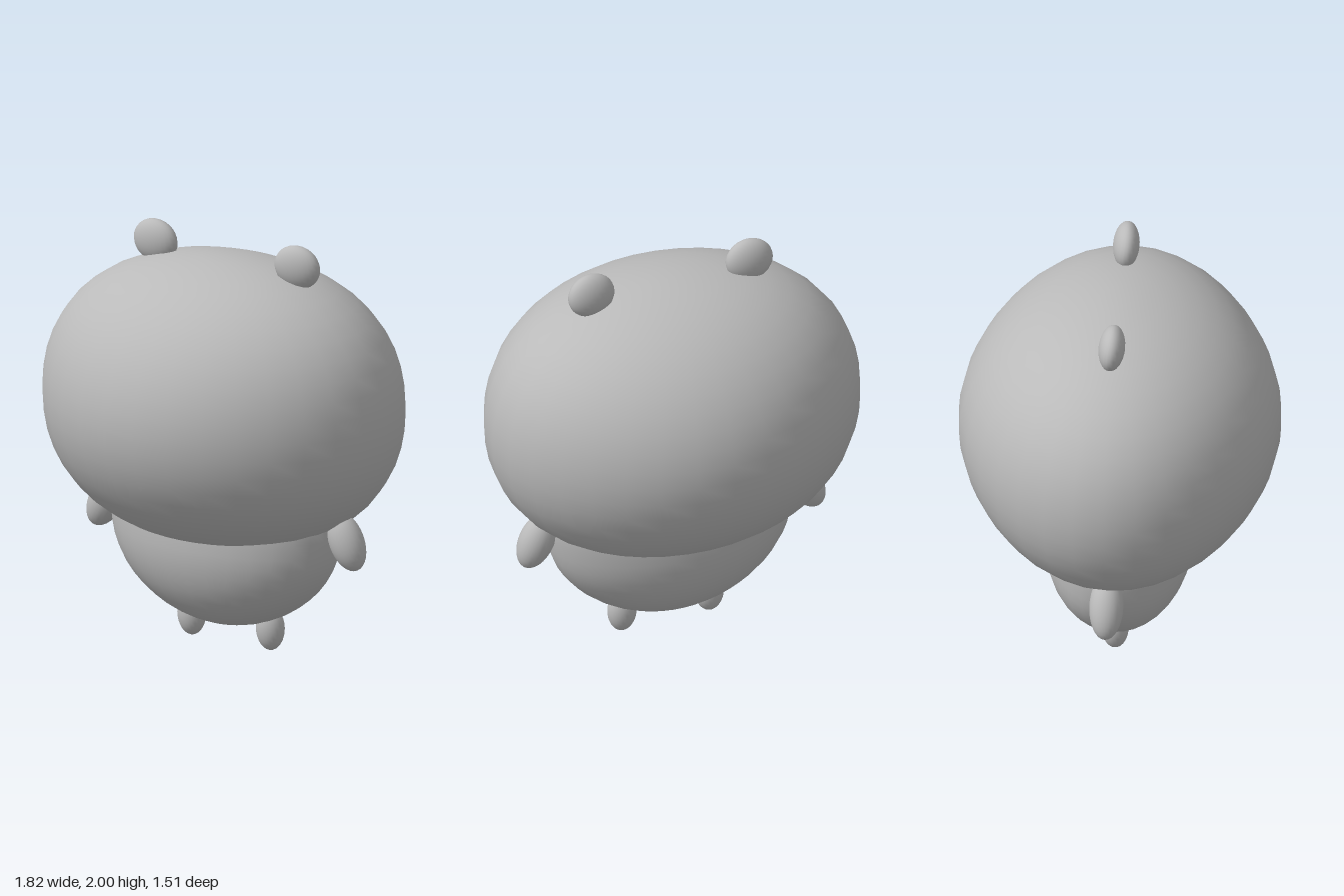
import * as THREE from 'three';
import { mergeVertices } from 'three/addons/utils/BufferGeometryUtils.js';

const grey = new THREE.MeshStandardMaterial({ color: 0xbababa });
grey.name = 'grey';

// Sphere whose unit-direction points are reshaped by a rule, with seamless smooth normals
function blob(name, segments, rings, rule) {
  let geometry = new THREE.SphereGeometry(1, segments, rings);
  geometry.deleteAttribute('uv');
  geometry.deleteAttribute('normal');
  const pos = geometry.attributes.position;
  const v = new THREE.Vector3();
  for (let i = 0; i < pos.count; i++) {
    v.fromBufferAttribute(pos, i);
    rule(v);
    pos.setXYZ(i, v.x, v.y, v.z);
  }
  geometry = mergeVertices(geometry, 1e-5);
  geometry.computeVertexNormals();
  const mesh = new THREE.Mesh(geometry, grey);
  mesh.name = name;
  return mesh;
}

// Small ellipsoid for ears and limbs
function ellipsoid(name, center, radii, rotation = [0, 0, 0]) {
  const mesh = blob(name, 24, 16, (v) => v.multiply(new THREE.Vector3(...radii)));
  mesh.position.set(...center);
  mesh.rotation.set(...rotation);
  return mesh;
}

export function createModel() {
  const group = new THREE.Group();
  group.name = 'bigHeadedCreature';

  // Wide head, fuller towards its upper and lower corners, slimmer front to back
  const head = blob('head', 32, 24, (v) => {
    const xx = v.x * v.x;
    const swell = 1 + 0.16 * xx * v.y * v.y - 0.08 * xx * v.z * v.z;
    v.multiplyScalar(swell);
    v.set(v.x * 0.91, v.y * 0.69, v.z * 0.755);
  });
  head.position.set(0, 1.19, -0.002);

  // Body, rounded below and flaring up into the head
  const body = blob('body', 32, 24, (v) => {
    const t = v.y;
    const wide = 0.6 + (t > 0 ? 0.14 : 0.06) * t;
    v.set(v.x * wide, t * (t > 0 ? 0.58 : 0.43), v.z * 0.35);
  });
  body.position.set(0.015, 0.53, -0.002);

  group.add(
    head,
    body,
    // Ears
    ellipsoid('rightEar', [-0.39, 1.89, -0.006], [0.117, 0.105, 0.062], [0.08, 0, 0]),
    ellipsoid('leftEar', [0.412, 1.895, -0.008], [0.118, 0.106, 0.062], [0.1, 0.08, 0]),
    // Arms
    ellipsoid('rightArm', [-0.665, 0.585, -0.008], [0.085, 0.155, 0.08], [0, 0, -0.52]),
    ellipsoid('leftArm', [0.69, 0.605, -0.01], [0.085, 0.145, 0.08], [0, 0, 0.42]),
    // Legs
    ellipsoid('rightLeg', [-0.187, 0.11, -0.008], [0.07, 0.107, 0.063], [0, 0, 0.03]),
    ellipsoid('leftLeg', [0.257, 0.11, -0.01], [0.07, 0.107, 0.063], [0, 0, 0.03])
  );
  return group;
}
